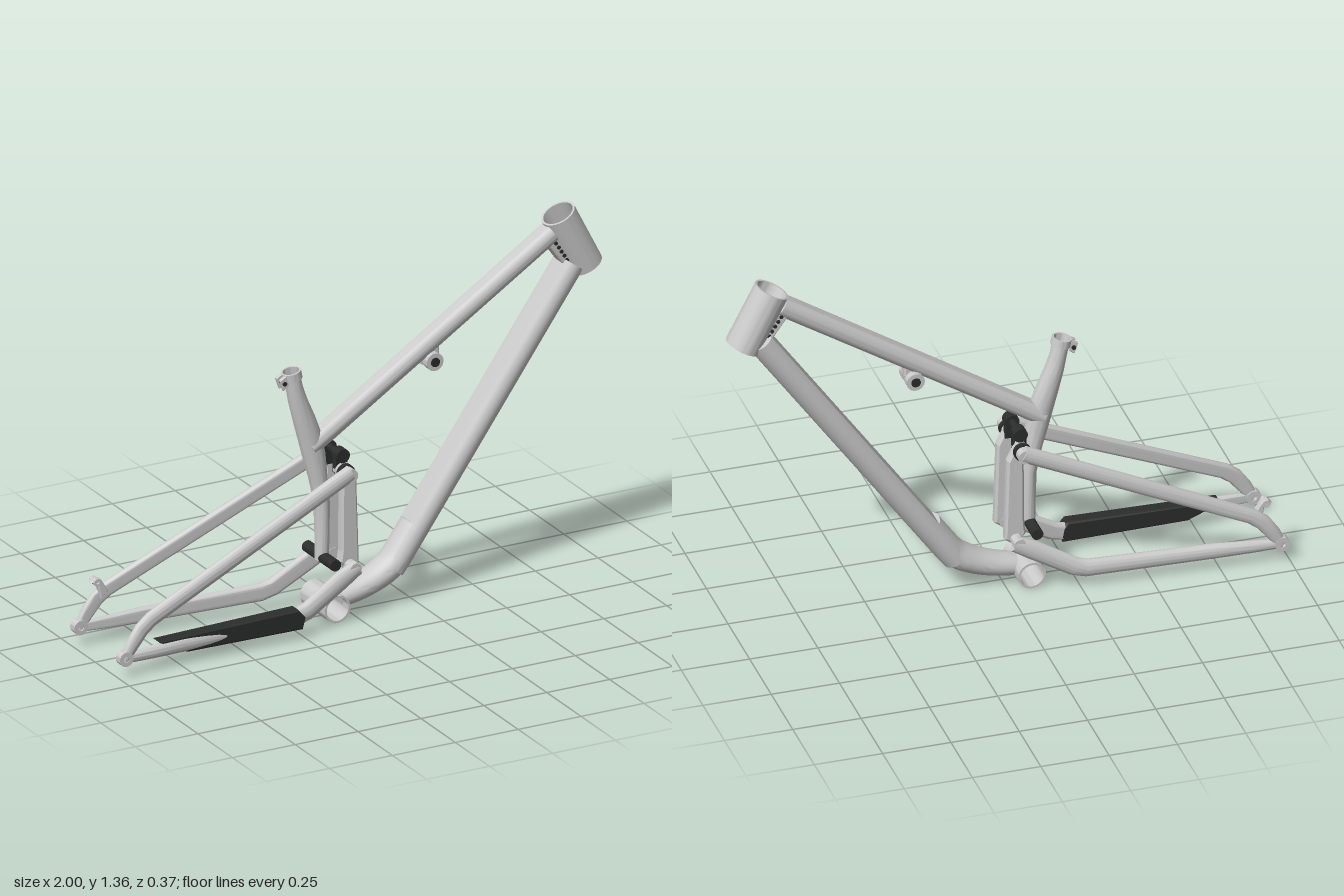
import * as THREE from 'three';
import { toCreasedNormals } from 'three/addons/utils/BufferGeometryUtils.js';

const grey = new THREE.MeshStandardMaterial({ color: 0xcccccc });
const greyOpen = new THREE.MeshStandardMaterial({ color: 0xcccccc, side: THREE.DoubleSide });
const dark = new THREE.MeshStandardMaterial({ color: 0x2b2e2c });
const V = (x, y, z = 0) => new THREE.Vector3(x, y, z);

export function createModel() {
  const root = new THREE.Group();
  const add = (name, geo, mat = grey) => {
    const m = new THREE.Mesh(geo, mat);
    m.name = name;
    root.add(m);
    return m;
  };

  // Tube through stations [x, y, z, half width in z, half height]; its section is an
  // ellipse, flattened where it passes top (upper side) or zMin / zMax (inner side).
  function sweep(st, { top = 1, zMin = -1, zMax = 1, open = false } = {}) {
    const N = 32, pos = [], idx = [], n = st.length;
    const dir = (i) => new THREE.Vector2(st[i + 1][0] - st[i][0], st[i + 1][1] - st[i][1]).normalize();
    st.forEach(([x, y, z, rz, rn], i) => {
      const a = dir(Math.max(i - 1, 0)), b = dir(Math.min(i, n - 2));
      const t = a.clone().add(b).normalize();
      const miter = 1 / Math.max(t.dot(a), 0.6);
      for (let j = 0; j < N; j++) {
        const th = (j / N) * Math.PI * 2;
        const c = THREE.MathUtils.clamp(Math.cos(th), zMin, zMax) * rz;
        const s = Math.min(Math.sin(th), top) * rn * miter;
        pos.push(x - t.y * s, y + t.x * s, z + c);
      }
    });
    for (let i = 0; i < n - 1; i++) for (let j = 0; j < N; j++) {
      const a = i * N + j, b = i * N + (j + 1) % N;
      idx.push(a, a + N, b, b, a + N, b + N);
    }
    pos.push(...st[0].slice(0, 3), ...st[n - 1].slice(0, 3));
    for (let j = 0; j < N; j++) {
      const k = (j + 1) % N, e = (n - 1) * N;
      idx.push(n * N, j, k);
      if (!open) idx.push(n * N + 1, e + k, e + j);
    }
    const g = new THREE.BufferGeometry();
    g.setAttribute('position', new THREE.Float32BufferAttribute(pos, 3));
    g.setIndex(idx);
    return toCreasedNormals(g, 0.5);
  }

  // Solid or hollow cylinder between two points
  function rod(name, a, b, r, rIn = 0, mat = grey) {
    const h = a.distanceTo(b) / 2;
    const p = [[rIn, -h], [r, -h], [r, h], [rIn, h]];
    if (rIn) p.push([rIn, -h]);
    const g = toCreasedNormals(new THREE.LatheGeometry(p.map((q) => new THREE.Vector2(...q)), 40), 0.6);
    const m = add(name, g, mat);
    m.position.copy(a).add(b).multiplyScalar(0.5);
    m.quaternion.setFromUnitVectors(V(0, 1, 0), b.clone().sub(a).normalize());
    return m;
  }

  // Flat plate from an xy outline, spanning z0..z1
  function plate(name, pts, z0, z1, mat = grey, bevel = 0.006) {
    const s = new THREE.Shape(pts.map((p) => new THREE.Vector2(...p)));
    const g = new THREE.ExtrudeGeometry(s, {
      depth: z1 - z0 - 2 * bevel, bevelEnabled: bevel > 0, bevelThickness: bevel,
      bevelSize: bevel, bevelOffset: -bevel, bevelSegments: 1,
    });
    g.translate(0, 0, z0 + bevel);
    return add(name, g, mat);
  }

  // Head tube and bottom bracket shell
  rod('headTube', V(0.948, 1.122), V(0.84, 1.333), 0.064, 0.056);
  rod('bottomBracketShell', V(-0.085, 0.052, -0.09), V(-0.085, 0.052, 0.09), 0.051, 0.043);

  // Main tubes
  add('topTube', sweep([[-0.15, 0.646, 0, 0.038, 0.037], [0.81, 1.27, 0, 0.042, 0.04]], { top: 0.85 }));
  add('downTube', sweep([[0.17, 0.13, 0, 0.062, 0.05], [0.2, 0.172, 0, 0.063, 0.052],
    [0.885, 1.145, 0, 0.063, 0.053]], { top: 0.72 }));
  const bend = new THREE.CatmullRomCurve3([V(-0.045, 0.06), V(0.03, 0.076), V(0.11, 0.105),
    V(0.175, 0.146), V(0.225, 0.21), V(0.27, 0.274)]);
  add('downTubeBend', sweep(bend.getPoints(20).map((p, i) =>
    [p.x, p.y, 0, 0.05 + 0.011 * Math.min(i / 10, 1), 0.04 + 0.01 * Math.min(i / 10, 1)])));
  plate('headGusset', [[0.785, 1.235], [0.8, 1.29], [0.85, 1.28], [0.925, 1.13], [0.86, 1.13]],
    -0.03, 0.03, grey, 0.004);
  for (let i = 0; i < 5; i++) {
    const t = i / 4;
    rod('gussetRib', V(0.815 + 0.045 * t, 1.235 - 0.07 * t, -0.034), V(0.815 + 0.045 * t, 1.235 - 0.07 * t, 0.034), 0.007, 0, dark);
  }

  // Seat tube, swelling where the top tube joins, open at the top
  add('seatTube', sweep([[-0.1, 0.215, 0, 0.028, 0.024], [-0.098, 0.32, 0, 0.03, 0.026],
    [-0.1, 0.43, 0, 0.032, 0.028], [-0.115, 0.53, 0, 0.034, 0.034], [-0.13, 0.61, 0, 0.036, 0.042],
    [-0.149, 0.69, 0, 0.036, 0.044], [-0.168, 0.75, 0, 0.036, 0.041], [-0.195, 0.83, 0, 0.034, 0.034],
    [-0.208, 0.88, 0, 0.032, 0.03], [-0.222, 0.945, 0, 0.031, 0.03]], { open: true }), greyOpen);
  rod('seatClamp', V(-0.216, 0.918), V(-0.222, 0.947), 0.036, 0.029);
  for (const s of [-1, 1]) {
    plate('clampEar', [[-0.275, 0.925], [-0.25, 0.94], [-0.24, 0.9], [-0.262, 0.885]],
      s * 0.014 - 0.007, s * 0.014 + 0.007, grey, 0.002);
  }
  rod('clampBolt', V(-0.258, 0.912, -0.026), V(-0.258, 0.912, 0.026), 0.008, 0, dark);

  // Shock mount under the top tube
  plate('shockMountBase', [[0.27, 0.945], [0.36, 1.0], [0.36, 0.9], [0.32, 0.87], [0.295, 0.885]], -0.02, 0.02);
  for (const s of [-1, 1]) {
    rod('shockMountLug', V(0.327, 0.888, s * 0.018), V(0.327, 0.888, s * 0.046), 0.033, 0.012);
  }
  rod('shockMountPin', V(0.327, 0.888, -0.05), V(0.327, 0.888, 0.05), 0.017, 0, dark);

  // Dark shock yoke above the links
  rod('shockYokePin', V(-0.05, 0.615, -0.065), V(-0.05, 0.615, 0.065), 0.014, 0, dark);
  rod('seatTubePivot', V(-0.1, 0.225, -0.105), V(-0.1, 0.225, 0.105), 0.021, 0, dark);

  // Rear triangle, the same on both sides
  for (const s of [-1, 1]) {
    const side = s > 0 ? 'Near' : 'Far';
    const flat = s > 0 ? { zMin: -0.75 } : { zMax: 0.75 };
    const span = (a, b) => [Math.min(s * a, s * b), Math.max(s * a, s * b)];

    // Upright link
    plate('link' + side, [[-0.06, 0.585], [-0.035, 0.59], [0.0, 0.52], [0.01, 0.205], [-0.03, 0.175],
      [-0.068, 0.22], [-0.062, 0.26], [-0.06, 0.48]], ...span(0.042, 0.078), grey, 0.008);
    // Pivot hardware
    rod('upperPivot' + side, V(-0.05, 0.56, s * 0.04), V(-0.05, 0.56, s * 0.128), 0.026);
    rod('upperPivotSpacer' + side, V(-0.05, 0.56, s * 0.076), V(-0.05, 0.56, s * 0.095), 0.032, 0, dark);
    rod('lowerPivot' + side, V(-0.03, 0.205, s * 0.04), V(-0.03, 0.205, s * 0.125), 0.022);
    rod('shockYokeEnd' + side, V(-0.05, 0.615, s * 0.028), V(-0.05, 0.615, s * 0.068), 0.026, 0, dark);
    plate('shockYokeArm' + side, [[-0.075, 0.615], [-0.025, 0.615], [-0.025, 0.55], [-0.075, 0.55]],
      ...span(0.03, 0.055), dark, 0.003);

    // Seat stay, bent down to the dropout
    add('seatStay' + side, sweep([[-0.972, 0.065, s * 0.166, 0.014, 0.02], [-0.945, 0.112, s * 0.166, 0.017, 0.026],
      [-0.905, 0.165, s * 0.164, 0.018, 0.029], [-0.865, 0.195, s * 0.161, 0.019, 0.029],
      [-0.045, 0.568, s * 0.112, 0.021, 0.031]], flat));
    // Chain stay, rising to the lower pivot
    add('chainStay' + side, sweep([[-0.975, 0.068, s * 0.166, 0.013, 0.018], [-0.86, 0.07, s * 0.16, 0.018, 0.024],
      [-0.73, 0.073, s * 0.153, 0.021, 0.029], [-0.27, 0.075, s * 0.13, 0.022, 0.033],
      [-0.225, 0.088, s * 0.126, 0.022, 0.034], [-0.08, 0.172, s * 0.112, 0.021, 0.036],
      [-0.015, 0.205, s * 0.106, 0.02, 0.03]], flat));
    // Dropout
    rod('dropout' + side, V(-0.973, 0.07, s * 0.15), V(-0.973, 0.07, s * 0.182), 0.027, 0.011);
  }

  // Chain stay guard on the near side only
  plate('chainStayGuard', [[-0.835, 0.102], [-0.28, 0.115], [-0.25, 0.08], [-0.262, 0.038], [-0.72, 0.043], [-0.8, 0.075]],
    0.113, 0.166, dark, 0.006);

  // Brake tab on the far seat stay
  plate('brakeTab', [[-0.94, 0.235], [-0.925, 0.252], [-0.9, 0.243], [-0.87, 0.195], [-0.9, 0.17], [-0.912, 0.225]],
    -0.165, -0.138, grey, 0.004);
  rod('brakeTabBoss', V(-0.918, 0.237, -0.168), V(-0.918, 0.237, -0.13), 0.014, 0.006);

  return root;
}
